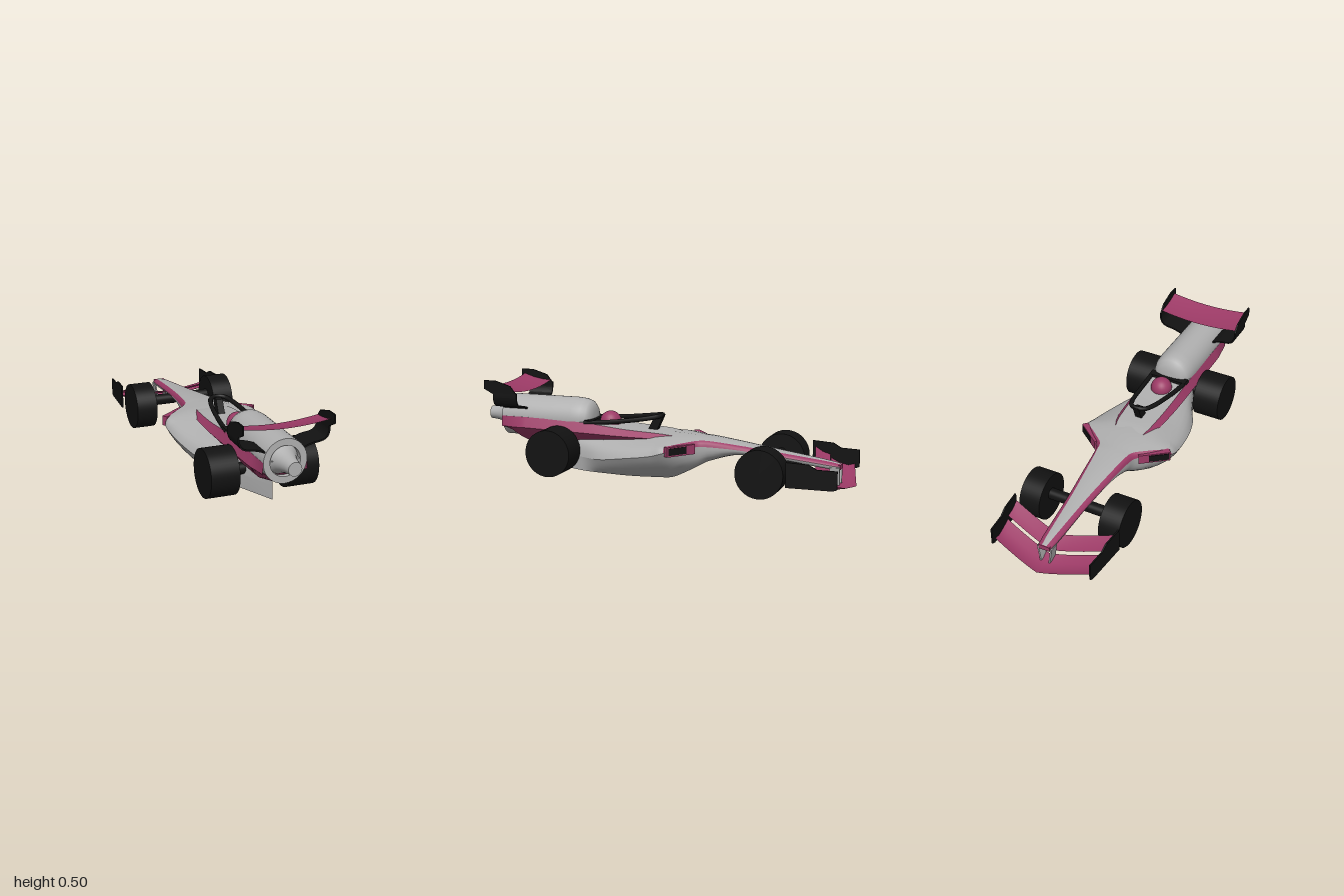
import * as THREE from 'three';

const mat = (name, color) => new THREE.MeshStandardMaterial({ name, color, side: THREE.DoubleSide });

// Surface through rows of [x, y, z] points
function loft(rows) {
  const n = rows[0].length, index = [];
  for (let i = 0; i < rows.length - 1; i++)
    for (let j = 0; j < n - 1; j++) {
      const a = i * n + j, b = a + 1, c = a + n, d = c + 1;
      index.push(a, c, b, b, c, d);
    }
  const g = new THREE.BufferGeometry();
  g.setAttribute('position', new THREE.Float32BufferAttribute(rows.flat(2), 3));
  g.setIndex(index);
  g.computeVertexNormals();
  return g;
}

// Smoothly interpolate a table whose first column is z
function resample(keys, steps) {
  const out = [], last = keys.length - 1;
  const slope = (i, c) => {
    const a = keys[Math.max(i - 1, 0)], b = keys[Math.min(i + 1, last)];
    return (b[c] - a[c]) / (b[0] - a[0]);
  };
  for (let i = 0; i < last; i++)
    for (let k = 0; k < steps; k++) {
      const t = k / steps, h = keys[i + 1][0] - keys[i][0], t2 = t * t, t3 = t2 * t;
      out.push(keys[i].map((v, c) => c === 0 ? v + h * t :
        (2 * t3 - 3 * t2 + 1) * v + (t3 - 2 * t2 + t) * h * slope(i, c) +
        (3 * t2 - 2 * t3) * keys[i + 1][c] + (t3 - t2) * h * slope(i + 1, c)));
    }
  out.push(keys[last]);
  return out;
}

const mirror = pts => pts.map(([x, y, z]) => [-x, y, z]).reverse();
const across = pts => [...mirror(pts).slice(0, -1), ...pts];

// Thin upright plate drawn in (z, y), centred on x = 0
function sidePlate(pts, t) {
  const g = new THREE.ExtrudeGeometry(new THREE.Shape(pts.map(p => new THREE.Vector2(...p))), { depth: t, bevelEnabled: false });
  return g.rotateY(-Math.PI / 2).translate(t / 2, 0, 0);
}

export function createModel() {
  const root = new THREE.Group();
  const grey = mat('body grey', 0xb0b0b0), pink = mat('trim pink', 0x9c3a66), black = mat('carbon black', 0x121212);
  const add = (name, geo, m, x = 0, y = 0, z = 0) => {
    const mesh = new THREE.Mesh(geo, m);
    mesh.name = name;
    mesh.position.set(x, y, z);
    root.add(mesh);
    return mesh;
  };

  // Hull: z, deck centre y, deck edge x y, widest x y, undercut control x y, floor edge x y
  const hull = resample([
    [-0.92, 0.150, 0.012, 0.149, 0.034, 0.138, 0.034, 0.122, 0.020, 0.122],
    [-0.86, 0.162, 0.018, 0.160, 0.042, 0.145, 0.042, 0.125, 0.020, 0.124],
    [-0.60, 0.196, 0.038, 0.193, 0.060, 0.175, 0.060, 0.158, 0.025, 0.155],
    [-0.40, 0.225, 0.060, 0.218, 0.080, 0.197, 0.082, 0.170, 0.030, 0.163],
    [-0.25, 0.241, 0.080, 0.234, 0.098, 0.205, 0.100, 0.140, 0.050, 0.125],
    [-0.20, 0.245, 0.095, 0.234, 0.115, 0.205, 0.110, 0.120, 0.060, 0.100],
    [-0.14, 0.249, 0.158, 0.229, 0.182, 0.205, 0.170, 0.110, 0.080, 0.068],
    [-0.07, 0.253, 0.228, 0.220, 0.250, 0.190, 0.200, 0.090, 0.100, 0.038],
    [0.00, 0.255, 0.205, 0.215, 0.255, 0.170, 0.220, 0.090, 0.120, 0.036],
    [0.15, 0.240, 0.155, 0.205, 0.237, 0.145, 0.200, 0.070, 0.140, 0.036],
    [0.30, 0.230, 0.120, 0.200, 0.195, 0.120, 0.170, 0.060, 0.140, 0.039],
    [0.42, 0.220, 0.100, 0.195, 0.135, 0.115, 0.133, 0.070, 0.130, 0.042],
    [0.60, 0.200, 0.050, 0.190, 0.062, 0.120, 0.062, 0.080, 0.060, 0.046],
    [0.75, 0.190, 0.000, 0.185, 0.000, 0.120, 0.000, 0.080, 0.000, 0.050],
  ], 5);
  const deck = ([z, yt, wd, yd]) => across([[0, yt, z], [wd * 0.55, yt - (yt - yd) * 0.3, z], [wd, yd, z]]);
  const shoulder = ([z, , wd, yd, w, ys]) => [0, 0.25, 0.5, 0.75, 1].map(t => {
    const u = 1 - t;
    return [u * u * wd + 2 * u * t * (wd * 0.2 + w * 0.8) + t * t * w, u * u * yd + 2 * u * t * (yd * 0.75 + ys * 0.25) + t * t * ys, z];
  });
  const flank = ([z, , , , w, ys, cx, cy, wf, yb]) => [0, 0.15, 0.3, 0.45, 0.6, 0.8, 1].map(t => {
    const u = 1 - t;
    return [u * u * w + 2 * u * t * cx + t * t * wf, u * u * ys + 2 * u * t * cy + t * t * yb, z];
  });
  const floor = ([z, , , , , , , , wf, yb]) => [[wf, yb, z], [0, yb, z], [-wf, yb, z]];
  add('deck', loft(hull.map(deck)), grey);
  add('floor', loft(hull.map(floor)), grey);
  const front = hull.filter(r => r[0] < -0.069), rear = hull.filter(r => r[0] > -0.071);
  for (const side of [p => p, mirror]) {
    add('noseStripe', loft(front.map(r => side(shoulder(r)))), pink);
    add('sidepodTop', loft(rear.map(r => side(shoulder(r)))), grey);
    add('hullFlank', loft(hull.map(r => side(flank(r)))), grey);
  }
  add('noseTip', new THREE.BoxGeometry(0.06, 0.024, 0.012), pink, 0, 0.136, -0.918);

  // Spine: z, top x y, edge x y, keel y
  const spine = resample([
    [-0.06, 0.080, 0.248, 0.095, 0.235, 0.20],
    [0.00, 0.092, 0.256, 0.115, 0.233, 0.19],
    [0.20, 0.102, 0.268, 0.130, 0.235, 0.16],
    [0.42, 0.106, 0.290, 0.132, 0.240, 0.145],
    [0.75, 0.110, 0.300, 0.132, 0.247, 0.145],
    [0.80, 0.110, 0.300, 0.125, 0.245, 0.165],
    [0.89, 0.109, 0.300, 0.112, 0.245, 0.24],
  ], 4);
  add('spineTop', loft(spine.map(([z, x, y]) => [[-x, y, z], [0, y + 0.003, z], [x, y, z]])), grey);
  for (const side of [p => p, mirror]) {
    add('spineStripe', loft(spine.map(([z, x, y, ex, ey]) => side([[x, y, z], [ex, ey, z]]))), pink);
    add('spineKeel', loft(spine.map(([z, , , ex, ey, k]) => side([[ex, ey, z], [ex * 0.55, k + (ey - k) * 0.3, z], [0, k, z]]))), pink);
  }

  // Engine tube and exhaust, turned about z
  const turned = {
    engineShell: [[0, 0.392], [0.04, 0.394], [0.075, 0.402], [0.095, 0.42], [0.105, 0.45], [0.109, 0.50], [0.109, 0.70], [0.109, 0.89]],
    engineRim: [[0.109, 0.89], [0.076, 0.89]],
    engineRecess: [[0.076, 0.89], [0.074, 0.86]],
    exhaustCone: [[0.074, 0.86], [0.056, 0.89], [0.046, 0.925], [0.038, 0.96], [0.034, 1]],
    exhaustEnd: [[0.034, 1], [0, 1]],
  };
  for (const [name, pts] of Object.entries(turned))
    add(name, new THREE.LatheGeometry(pts.map(p => new THREE.Vector2(...p)), 40).rotateX(Math.PI / 2), grey, 0, 0.296, 0);

  // Cockpit
  add('helmet', new THREE.SphereGeometry(0.056, 28, 18), pink, 0, 0.287, 0.31);
  add('headrest', new THREE.BoxGeometry(0.21, 0.03, 0.045), black, 0, 0.287, 0.395);
  const arm = [[0.1, 0.288, 0.42], [0.083, 0.302, 0.25], [0.058, 0.324, 0.09], [0.035, 0.334, 0.035]];
  const loop = [...arm, [0, 0.336, 0.022], ...mirror(arm)].map(p => new THREE.Vector3(...p));
  add('halo', new THREE.TubeGeometry(new THREE.CatmullRomCurve3(loop), 48, 0.012, 8), black);
  add('haloPillar', sidePlate([[0, 0.34], [0.1, 0.25], [0.05, 0.25], [0.05, 0.33]].map((p, i) => [[0.01, 0.34], [0.05, 0.25], [0.1, 0.25], [0.06, 0.33]][i]), 0.035), black);

  // Swept front wing elements: chord points at the centre as z, y
  const wing = chord => {
    const rows = [];
    for (let i = -10; i <= 10; i++) {
      const u = Math.abs(i) / 10;
      rows.push(chord.map(([z, y]) => [i * 0.0272, y + 0.055 * u ** 1.5, z + 0.065 * u]).reverse());
    }
    return loft(rows.map(r => r.reverse()).reverse());
  };
  add('frontWing', wing([[-1, 0.042], [-0.965, 0.032], [-0.92, 0.04], [-0.875, 0.062]]), pink);
  add('frontWingFlap', wing([[-0.87, 0.08], [-0.83, 0.092], [-0.79, 0.118]]), pink);

  // Rear wing, bowed upward at the ends
  const bow = [];
  for (let i = -10; i <= 10; i++) {
    const lift = 0.02 * (i / 10) ** 2;
    bow.push([[0.757, 0.432], [0.8, 0.434], [0.86, 0.445], [0.912, 0.462]].map(([z, y]) => [i * 0.0225, y + lift, z]).reverse());
  }
  add('rearWing', loft(bow.reverse().map(r => r.reverse())), pink);

  for (const s of [1, -1]) {
    // Wheels and axles
    const wheel = (name, x, y, z, r, w) => add(name, new THREE.CylinderGeometry(r, r, w, 48).rotateZ(Math.PI / 2), black, s * x, y, z);
    wheel('rearWheel', 0.204, 0.148, 0.553, 0.122, 0.146);
    wheel('frontWheel', 0.221, 0.125, -0.573, 0.122, 0.112);
    wheel('rearAxle', 0.1, 0.148, 0.553, 0.03, 0.07);
    wheel('frontAxle', 0.1, 0.145, -0.573, 0.029, 0.15);

    // Sidepod intakes
    const rim = add('intakeRim', new THREE.BoxGeometry(0.165, 0.05, 0.03), pink, s * 0.183, 0.197, -0.135);
    const mouth = add('intakeMouth', new THREE.BoxGeometry(0.105, 0.036, 0.036), black, s * 0.201, 0.198, -0.121);
    rim.rotation.y = mouth.rotation.y = -s * 0.666;

    // Front wing endplates and pylons
    const plate = sidePlate([[-0.12, 0.17], [-0.12, 0.08], [-0.1, 0.072], [0.13, 0.075], [0.13, 0.2], [0.02, 0.195], [-0.02, 0.172]], 0.008);
    add('frontEndplate', plate, black, s * 0.277, 0, -0.84).rotation.y = s * 0.07;
    add('wingPylon', new THREE.BoxGeometry(0.008, 0.09, 0.05), grey, s * 0.03, 0.09, -0.895).rotation.z = -s * 0.15;

    // Rear wing endplates with curved supports running down to the engine
    add('rearEndplate', sidePlate([[0.93, 0.505], [0.865, 0.505], [0.78, 0.48], [0.745, 0.435], [0.745, 0.42], [0.88, 0.42], [0.88, 0.435], [0.93, 0.46]], 0.008), black, s * 0.225);
    const path = new THREE.SplineCurve([[0.225, 0.44], [0.224, 0.41], [0.211, 0.381], [0.185, 0.368], [0.15, 0.363], [0.12, 0.355], [0.09, 0.343]]
      .map(([x, y]) => new THREE.Vector2(s * x, y)));
    const outer = [], inner = [];
    for (let i = 0; i <= 24; i++) {
      const p = path.getPoint(i / 24), t = path.getTangent(i / 24);
      const n = new THREE.Vector2(-t.y, t.x).multiplyScalar(0.004);
      outer.push(p.clone().add(n));
      inner.unshift(p.clone().sub(n));
    }
    add('rearWingSupport', new THREE.ExtrudeGeometry(new THREE.Shape([...outer, ...inner]), { depth: 0.135, bevelEnabled: false }), black, 0, 0, 0.745);
  }
  return root;
}
